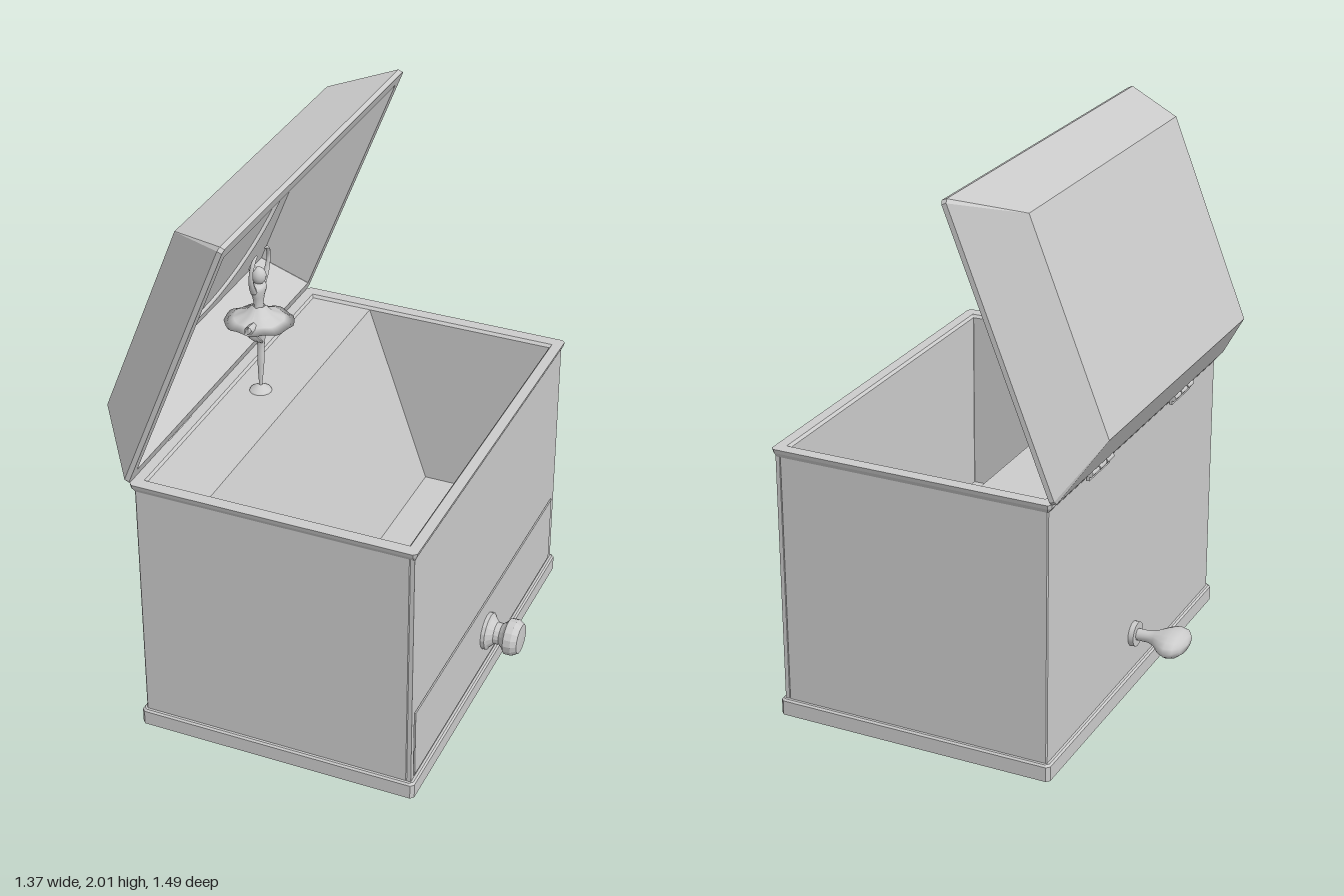
import * as THREE from 'three';

const grey = new THREE.MeshStandardMaterial({ color: 0xcccccc, side: THREE.DoubleSide });
const V = (x, y, z) => new THREE.Vector3(x, y, z);

function add(parent, name, geometry, x = 0, y = 0, z = 0) {
  const mesh = new THREE.Mesh(geometry, grey);
  mesh.name = name;
  mesh.position.set(x, y, z);
  parent.add(mesh);
  return mesh;
}

// Flat-sided solid through rectangular rings [xMin, xMax, halfZ, y, cornerCut], capped at both ends
function loftRects(rings) {
  const loops = rings.map(([a, b, w, y, c = 0.001]) => [
    V(b, y, w - c), V(b, y, c - w), V(b - c, y, -w), V(a + c, y, -w),
    V(a, y, c - w), V(a, y, w - c), V(a + c, y, w), V(b - c, y, w)]);
  const pts = [];
  for (let i = 0; i + 1 < loops.length; i++) {
    for (let j = 0; j < 8; j++) {
      const k = (j + 1) % 8, p = loops[i], q = loops[i + 1];
      pts.push(p[j], p[k], q[k], p[j], q[k], q[j]);
    }
  }
  const first = loops[0], last = loops[loops.length - 1];
  for (let j = 1; j < 7; j++) pts.push(first[0], first[j + 1], first[j], last[0], last[j], last[j + 1]);
  const geometry = new THREE.BufferGeometry().setFromPoints(pts);
  geometry.computeVertexNormals();
  return geometry;
}

// Lathe from [radius, height] pairs
const lathe = (profile, sides) =>
  new THREE.LatheGeometry(profile.map(([r, h]) => new THREE.Vector2(r, h)), sides);

// Tube along a smooth path whose radius follows the listed values
function limb(points, radii) {
  const seg = 16, sides = 8;
  const curve = new THREE.CatmullRomCurve3(points);
  const geometry = new THREE.TubeGeometry(curve, seg, 1, sides);
  const pos = geometry.attributes.position, v = V(0, 0, 0);
  for (let i = 0; i <= seg; i++) {
    const centre = curve.getPointAt(i / seg);
    const f = (i / seg) * (radii.length - 1), k = Math.min(Math.floor(f), radii.length - 2);
    const r = THREE.MathUtils.lerp(radii[k], radii[k + 1], f - k);
    for (let j = 0; j <= sides; j++) {
      const n = i * (sides + 1) + j;
      v.fromBufferAttribute(pos, n).sub(centre).multiplyScalar(r).add(centre);
      pos.setXYZ(n, v.x, v.y, v.z);
    }
  }
  geometry.computeVertexNormals();
  return geometry;
}

function buildBox() {
  const box = new THREE.Group();
  box.name = 'box';
  // Plinth, walls, flared rim and hollow inside in one shell
  add(box, 'boxShell', loftRects([
    [-0.49, 0.56, 0.745, 0, 0.012], [-0.49, 0.56, 0.745, 0.055, 0.012], [-0.484, 0.554, 0.739, 0.062, 0.012],
    [-0.475, 0.53, 0.73, 0.062, 0.004], [-0.475, 0.53, 0.73, 0.998, 0.004], [-0.475, 0.545, 0.73, 0.998, 0.004],
    [-0.488, 0.553, 0.741, 1.015, 0.01], [-0.49, 0.556, 0.745, 1.03, 0.012],
    [-0.452, 0.518, 0.7, 1.03], [-0.445, 0.51, 0.69, 1.02], [-0.445, 0.51, 0.69, 0.32]]));

  // Front wall with the drawer opening
  const wall = new THREE.Shape([[-0.73, 0.062], [0.73, 0.062], [0.73, 1], [-0.73, 1]].map(p => new THREE.Vector2(...p)));
  wall.holes.push(new THREE.Path([[-0.707, 0.068], [-0.707, 0.348], [0.707, 0.348], [0.707, 0.068]].map(p => new THREE.Vector2(...p))));
  add(box, 'frontWall', new THREE.ExtrudeGeometry(wall, { depth: 0.015, bevelEnabled: false }).rotateY(Math.PI / 2), 0.53);

  // Shelf under the dancer, with a sloping front
  const shelf = new THREE.Shape([[-0.455, 0.31], [0.035, 0.31], [-0.21, 1.02], [-0.455, 1.02]].map(p => new THREE.Vector2(...p)));
  add(box, 'dancerShelf', new THREE.ExtrudeGeometry(shelf, { depth: 1.384, bevelEnabled: false }), 0, 0, -0.692);

  // Drawer
  add(box, 'drawerFront', new THREE.BoxGeometry(0.018, 0.27, 1.402), 0.539, 0.208, 0);
  const knob = lathe([[0, 0], [0.07, 0], [0.07, 0.016], [0.06, 0.022], [0.042, 0.04], [0.04, 0.06],
    [0.052, 0.074], [0.068, 0.086], [0.068, 0.114], [0.055, 0.135], [0, 0.137]], 16);
  add(box, 'drawerKnob', knob.toNonIndexed().rotateZ(-Math.PI / 2), 0.546, 0.205, 0).geometry.computeVertexNormals();

  // Winding key, its grip flattened sideways
  const key = lathe([[0.022, 0.01], [0.022, 0.065], [0.027, 0.09], [0.038, 0.125], [0.044, 0.155],
    [0.04, 0.185], [0.026, 0.205], [0, 0.212]], 16).rotateZ(Math.PI / 2);
  const pos = key.attributes.position;
  for (let i = 0; i < pos.count; i++) {
    const widen = THREE.MathUtils.smoothstep(-pos.getX(i), 0.06, 0.14);
    pos.setZ(i, pos.getZ(i) * (1 + 1.25 * widen));
  }
  key.computeVertexNormals();
  add(box, 'windingKey', key, -0.475, 0.205, 0);
  add(box, 'keyCollar', new THREE.CylinderGeometry(0.046, 0.046, 0.022, 20).rotateZ(Math.PI / 2), -0.484, 0.205, 0);

  // Hinges
  for (const side of [-1, 1]) {
    for (let k = -1; k <= 1; k++) {
      add(box, 'hingeKnuckle', new THREE.CylinderGeometry(0.012, 0.012, 0.054, 10).rotateX(Math.PI / 2),
        -0.495, 1.022, side * 0.36 + k * 0.06);
    }
    add(box, 'hingePlate', new THREE.BoxGeometry(0.01, 0.026, 0.17), -0.487, 1.008, side * 0.36);
  }
  return box;
}

function buildLid() {
  const lid = new THREE.Group();
  lid.name = 'lid';
  // Hollow hipped shell, built closed and then tipped back on its hinge
  add(lid, 'lidShell', loftRects([
    [0.122, 0.922, 0.587, 0.18], [0.045, 0.997, 0.705, 0],
    [0, 1.044, 0.745, 0, 0.012], [0, 1.044, 0.745, 0.018, 0.012], [0.137, 0.912, 0.606, 0.206]]));
  const oval = [0.73, 1, 1];
  add(lid, 'mirrorFrame', new THREE.TorusGeometry(0.43, 0.014, 8, 40).rotateX(Math.PI / 2).scale(...oval), 0.525, 0.176, 0);
  add(lid, 'mirror', new THREE.CylinderGeometry(0.43, 0.43, 0.006, 40).scale(...oval), 0.525, 0.177, 0);
  lid.position.set(-0.49, 1.03, 0);
  lid.rotation.z = THREE.MathUtils.degToRad(68.35);
  return lid;
}

function buildDancer() {
  const dancer = new THREE.Group();
  dancer.name = 'dancer';
  dancer.position.set(-0.345, 0, 0);
  add(dancer, 'stand', lathe([[0.042, 1.018], [0.038, 1.026], [0.012, 1.042], [0, 1.044]], 16));
  add(dancer, 'standingLeg', limb([V(0, 1.03, 0), V(0, 1.1, -0.005), V(0, 1.2, -0.012), V(0, 1.32, -0.014)],
    [0.005, 0.01, 0.014, 0.013, 0.02, 0.024]));
  add(dancer, 'raisedThigh', limb([V(0, 1.305, 0.01), V(0.01, 1.315, 0.06), V(0.01, 1.325, 0.113)], [0.023, 0.02, 0.014]));
  add(dancer, 'raisedShin', limb([V(0.01, 1.328, 0.113), V(0.012, 1.275, 0.065), V(0.01, 1.225, 0.005)],
    [0.014, 0.015, 0.01, 0.005]));

  // Skirt with a gently rippled edge
  const skirt = lathe([[0, 1.29], [0.06, 1.297], [0.125, 1.308], [0.09, 1.322], [0.05, 1.34], [0.022, 1.37]], 40);
  const pos = skirt.attributes.position;
  for (let i = 0; i < pos.count; i++) {
    const x = pos.getX(i), z = pos.getZ(i), r = Math.hypot(x, z);
    pos.setY(i, pos.getY(i) + 0.05 * z + r * r * 0.3 * Math.sin(8 * Math.atan2(z, x)));
  }
  skirt.computeVertexNormals();
  add(dancer, 'skirt', skirt);

  // Bodice, neck and head
  add(dancer, 'bodice', lathe([[0.028, 1.34], [0.024, 1.375], [0.03, 1.41], [0.042, 1.437], [0.036, 1.452],
    [0.013, 1.46], [0.011, 1.475], [0, 1.476]], 16).scale(0.65, 1, 1));
  add(dancer, 'head', new THREE.SphereGeometry(0.027, 14, 10).scale(1, 1.2, 0.95), 0.003, 1.489, 0);
  add(dancer, 'hairBun', new THREE.SphereGeometry(0.015, 10, 8), -0.018, 1.512, 0.004);

  // Arms curved overhead
  for (const s of [-1, 1]) {
    add(dancer, s > 0 ? 'leftArm' : 'rightArm', limb([V(0, 1.44, s * 0.038), V(0.004, 1.485, s * 0.064),
      V(0.008, 1.535, s * 0.072), V(0.012, 1.575, s * 0.054), V(0.012, 1.582, s * 0.032)],
    [0.012, 0.011, 0.009, 0.007, 0.008, 0.003]));
  }
  return dancer;
}

export function createModel() {
  const model = new THREE.Group();
  model.name = 'musicBox';
  model.add(buildBox(), buildLid(), buildDancer());
  return model;
}
